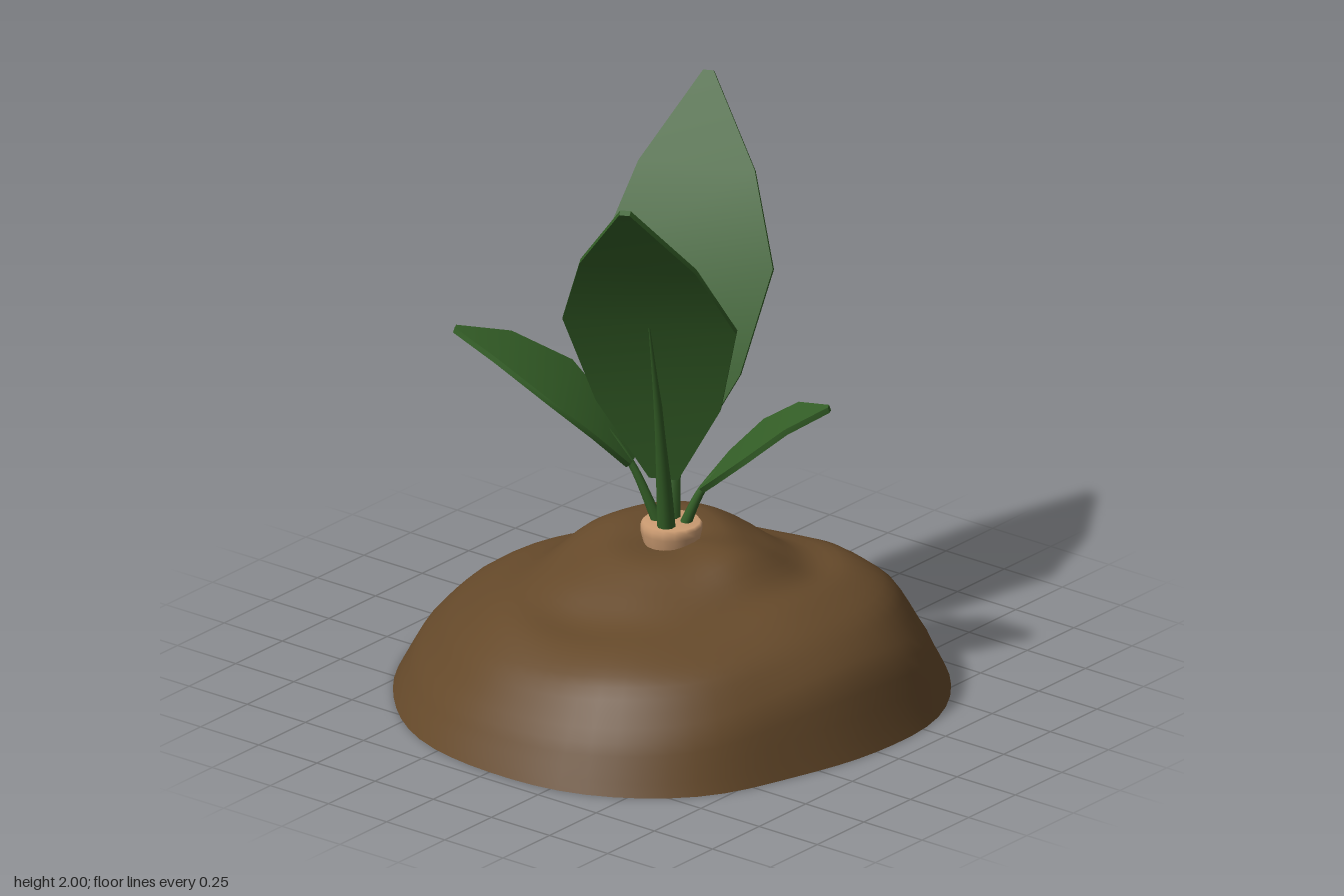
import * as THREE from 'three';

const green = new THREE.MeshStandardMaterial({ color: 0x345f27 });
const soil = new THREE.MeshStandardMaterial({ color: 0x65492a, side: THREE.DoubleSide });
const tan = new THREE.MeshStandardMaterial({ color: 0xcc9c72 });

function mesh(name, geometry, material) {
  const m = new THREE.Mesh(geometry, material);
  m.name = name;
  return m;
}

// Smooth interpolation between four neighbouring values
function spline(a, b, c, d, t) {
  return b + 0.5 * t * (c - a + t * (2 * a - 5 * b + 4 * c - d + t * (3 * (b - c) + d - a)));
}
function around(list, u) {
  const n = list.length, f = u * n, i = Math.floor(f);
  const at = k => list[(i + k + n) % n];
  return spline(at(-1), at(0), at(1), at(2), f - i);
}

// Outline radius every 22.5 degrees, from +x towards +z
const OUTLINE = [0.905, 0.895, 0.96, 0.975, 0.95, 0.945, 0.92, 0.915, 0.91, 0.88, 0.91, 0.94, 0.96, 0.95, 0.955, 0.95];
// Heights every 45 degrees, at the radius fractions in STEPS
const STEPS = [0, 0.2, 0.35, 0.5, 0.65, 0.8, 0.92, 1];
const HEIGHTS = [
  [0.53, 0.57, 0.56, 0.465, 0.44, 0.38, 0.26, 0],
  [0.53, 0.54, 0.49, 0.44, 0.40, 0.33, 0.18, 0],
  [0.53, 0.53, 0.47, 0.395, 0.37, 0.285, 0.14, 0],
  [0.53, 0.54, 0.48, 0.41, 0.35, 0.245, 0.12, 0],
  [0.53, 0.57, 0.52, 0.39, 0.35, 0.27, 0.155, 0],
  [0.53, 0.575, 0.53, 0.41, 0.36, 0.255, 0.125, 0],
  [0.53, 0.58, 0.52, 0.41, 0.36, 0.18, 0.075, 0],
  [0.53, 0.565, 0.51, 0.435, 0.435, 0.355, 0.165, 0],
];

// Lumpy open shell of soil
function moundGeometry() {
  const N = 64, M = 28, pos = [], index = [];
  for (let j = 0; j <= M; j++) {
    const f = Math.min(j / M * 7, 6.9999), k = Math.floor(f), s = j === M ? 1 : f - k;
    const t = STEPS[k] + (STEPS[k + 1] - STEPS[k]) * s;
    for (let i = 0; i < N; i++) {
      const u = i / N, a = u * Math.PI * 2;
      const h = n => around(HEIGHTS.map(row => row[n]), u);
      const end = k === 6 ? -0.17 : h(k + 2);
      let y = spline(h(Math.max(k - 1, 0)), h(k), h(k + 1), end, s);
      const r = t * around(OUTLINE, u), x = r * Math.cos(a), z = r * Math.sin(a);
      y += 0.008 * Math.sin(9 * x + 2 * z) * Math.sin(8 * z - 3 * x) * Math.sin(Math.PI * t);
      pos.push(x, j === M ? 0 : Math.max(y, 0), z);
      if (j < M) {
        const p = j * N + i, q = j * N + (i + 1) % N;
        index.push(p, q, p + N, q, q + N, p + N);
      }
    }
  }
  const g = new THREE.BufferGeometry();
  g.setAttribute('position', new THREE.Float32BufferAttribute(pos, 3));
  g.setIndex(index);
  g.computeVertexNormals();
  return g;
}

// Sharp-edged blade bent through rows of [distance out, height, half width]
function bladeGeometry(rows) {
  const n = rows.length - 1;
  const g = new THREE.BoxGeometry(2, 0.02, 1, 1, 1, n);
  const p = g.attributes.position;
  for (let v = 0; v < p.count; v++) {
    const i = Math.round((p.getZ(v) + 0.5) * n);
    const [d, y, w] = rows[i];
    const a = rows[Math.max(i - 1, 0)], b = rows[Math.min(i + 1, n)];
    const len = Math.hypot(b[0] - a[0], b[1] - a[1]), off = p.getY(v);
    p.setXYZ(v, p.getX(v) * w, y + off * (b[0] - a[0]) / len, d - off * (b[1] - a[1]) / len);
  }
  g.computeVertexNormals();
  return g;
}

// Round stalk that thins out to a point along the blade, set below it by drop
function stalkGeometry(rows, radius, drop) {
  const pts = rows.slice(0, 3).map(([d, y]) => new THREE.Vector3(0, y - drop, d + drop));
  const curve = new THREE.CatmullRomCurve3([new THREE.Vector3(0, 0.56, 0.03), ...pts]);
  const S = 16, R = 8;
  const g = new THREE.TubeGeometry(curve, S, radius, R);
  const p = g.attributes.position, v = new THREE.Vector3();
  for (let i = 0; i < p.count; i++) {
    const u = Math.floor(i / (R + 1)) / S;
    const c = curve.getPointAt(u);
    v.fromBufferAttribute(p, i).sub(c).multiplyScalar(1 - 0.92 * u).add(c);
    p.setXYZ(i, v.x, v.y, v.z);
  }
  g.computeVertexNormals();
  return g;
}

function leaf(name, rows, x, z, radius, drop) {
  const g = new THREE.Group();
  g.name = name;
  g.add(mesh('leafBlade', bladeGeometry(rows), green));
  g.add(mesh('leafStalk', stalkGeometry(rows, radius, drop), green));
  g.rotation.y = Math.atan2(x, z);
  return g;
}

export function createModel() {
  const model = new THREE.Group();
  model.name = 'plantedSprout';
  model.add(mesh('soilMound', moundGeometry(), soil));

  const plant = new THREE.Group();
  plant.name = 'plant';
  plant.position.x = 0.022;
  model.add(plant);

  // Tapered root with a rounded crown
  const profile = [[0, 0.25], [0.045, 0.25], [0.055, 0.32], [0.085, 0.5], [0.095, 0.54],
    [0.104, 0.575], [0.105, 0.598], [0.097, 0.61], [0, 0.612]];
  plant.add(mesh('root', new THREE.LatheGeometry(profile.map(p => new THREE.Vector2(...p)), 16), tan));
  const tail = mesh('rootTail', new THREE.CylinderGeometry(0.034, 0.034, 0.22, 10), green);
  tail.position.y = 0.16;
  plant.add(tail);

  // Two tall leaves, front and back
  const tall = [[0.07, 0.8, 0.05], [0.15, 1.1, 0.215], [0.275, 1.44, 0.3], [0.445, 1.72, 0.2], [0.63, 1.99, 0.018]];
  const front = leaf('frontTallLeaf', tall, 0.27, 0.575, 0.034, 0.008);
  front.position.z = 0.013;
  const back = leaf('backTallLeaf', tall, -0.28, -0.567, 0.034, 0.008);
  back.position.set(-0.005, 0, 0.01);
  plant.add(front, back);

  // Two low leaves, one to each side
  const lowRight = [[0.14, 0.81, 0.035], [0.235, 0.94, 0.125], [0.385, 1.08, 0.178], [0.58, 1.19, 0.12], [0.745, 1.24, 0.012]];
  const lowLeft = [[0.11, 0.74, 0.035], [0.18, 0.82, 0.125], [0.285, 0.92, 0.18], [0.415, 1.015, 0.125], [0.54, 1.06, 0.012]];
  plant.add(leaf('rightLowLeaf', lowRight, -0.67, 0.33, 0.022, 0));
  plant.add(leaf('leftLowLeaf', lowLeft, 0.48, -0.25, 0.022, 0));
  return model;
}
